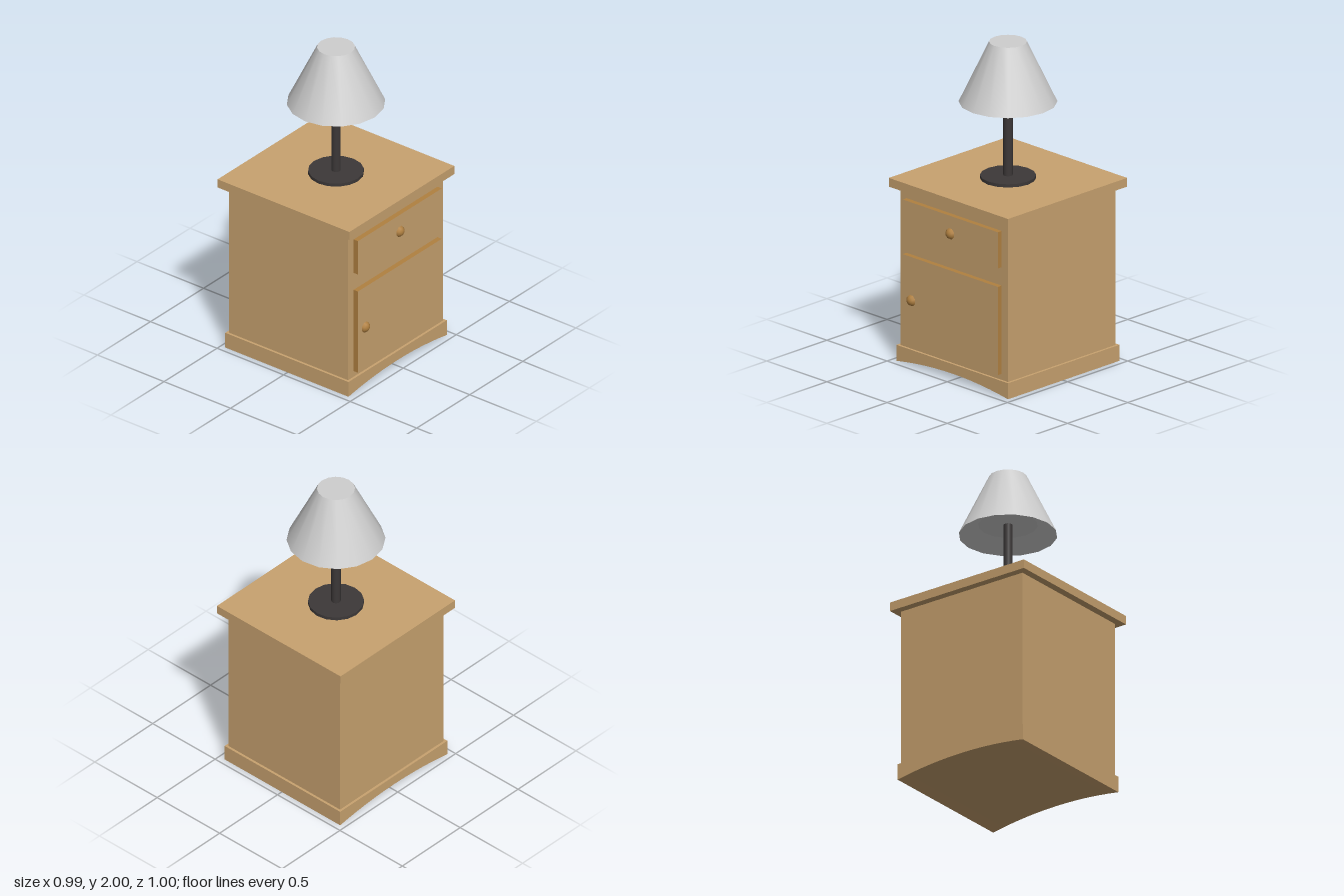
import * as THREE from 'three';

const material = (name, color) => new THREE.MeshStandardMaterial({ name, color });

export function createModel() {
  const wood = material('light wood', 0xc8a26f);
  const trim = material('dark wood', 0xb08040);
  const metal = material('dark metal', 0x3c3838);
  const fabric = material('shade fabric', 0xcecece);

  const model = new THREE.Group();
  model.name = 'nightstandWithLamp';
  model.position.z = -0.005;

  const add = (name, geometry, mat, x = 0, y = 0, z = 0, parent = model) => {
    const mesh = new THREE.Mesh(geometry, mat);
    mesh.name = name;
    mesh.position.set(x, y, z);
    parent.add(mesh);
    return mesh;
  };

  // Cabinet body and overhanging top
  add('body', new THREE.BoxGeometry(0.895, 0.99, 0.895), wood, 0, 0.595, 0);
  add('tabletop', new THREE.BoxGeometry(0.99, 0.055, 0.99), wood, 0, 1.1175, 0);

  // Plinth with a shallow arch running front to back
  const w = 0.463, rise = 0.04;
  const arch = new THREE.Shape();
  arch.moveTo(-w, 0);
  arch.quadraticCurveTo(0, rise * 2, w, 0);
  arch.lineTo(w, 0.1);
  arch.lineTo(-w, 0.1);
  arch.closePath();
  const plinth = new THREE.ExtrudeGeometry(arch, { depth: 2 * w, bevelEnabled: false, curveSegments: 12 });
  add('plinth', plinth.translate(0, 0, -w), wood);

  // Drawer and door panels: light face, darker edges, round knob
  const panels = [
    { name: 'drawer', bottom: 0.805, top: 1.032, knobX: 0, knobY: 0.92 },
    { name: 'door', bottom: 0.138, top: 0.69, knobX: -0.325, knobY: 0.418 },
  ];
  for (const p of panels) {
    add(p.name, new THREE.BoxGeometry(0.79, p.top - p.bottom, 0.035),
      [trim, trim, trim, trim, wood, wood], 0, (p.top + p.bottom) / 2, 0.4625);
    const knob = new THREE.SphereGeometry(0.038, 8, 8).rotateX(Math.PI / 2).rotateZ(Math.PI / 8);
    add(p.name + 'Knob', knob, trim, p.knobX, p.knobY, 0.467);
  }

  // Lamp foot and stem
  const lamp = new THREE.Group();
  lamp.name = 'lamp';
  model.add(lamp);
  add('lampFoot', new THREE.CylinderGeometry(0.165, 0.165, 0.02, 16), metal, 0, 1.155, 0, lamp);
  add('lampStem', new THREE.CylinderGeometry(0.028, 0.028, 0.535, 16), metal, 0, 1.4275, 0, lamp);

  // Closed shade with a recessed underside; each band keeps its own sharp edge
  const profile = [[0, 1.69], [0.175, 1.69], [0.291, 1.625], [0.112, 2], [0, 2]]
    .map(([r, y]) => new THREE.Vector2(r, y));
  ['shadeInnerDisc', 'shadeInnerRing', 'shadeSide', 'shadeTop'].forEach((name, i) =>
    add(name, new THREE.LatheGeometry(profile.slice(i, i + 2), 16), fabric, 0, 0, 0, lamp));

  return model;
}
